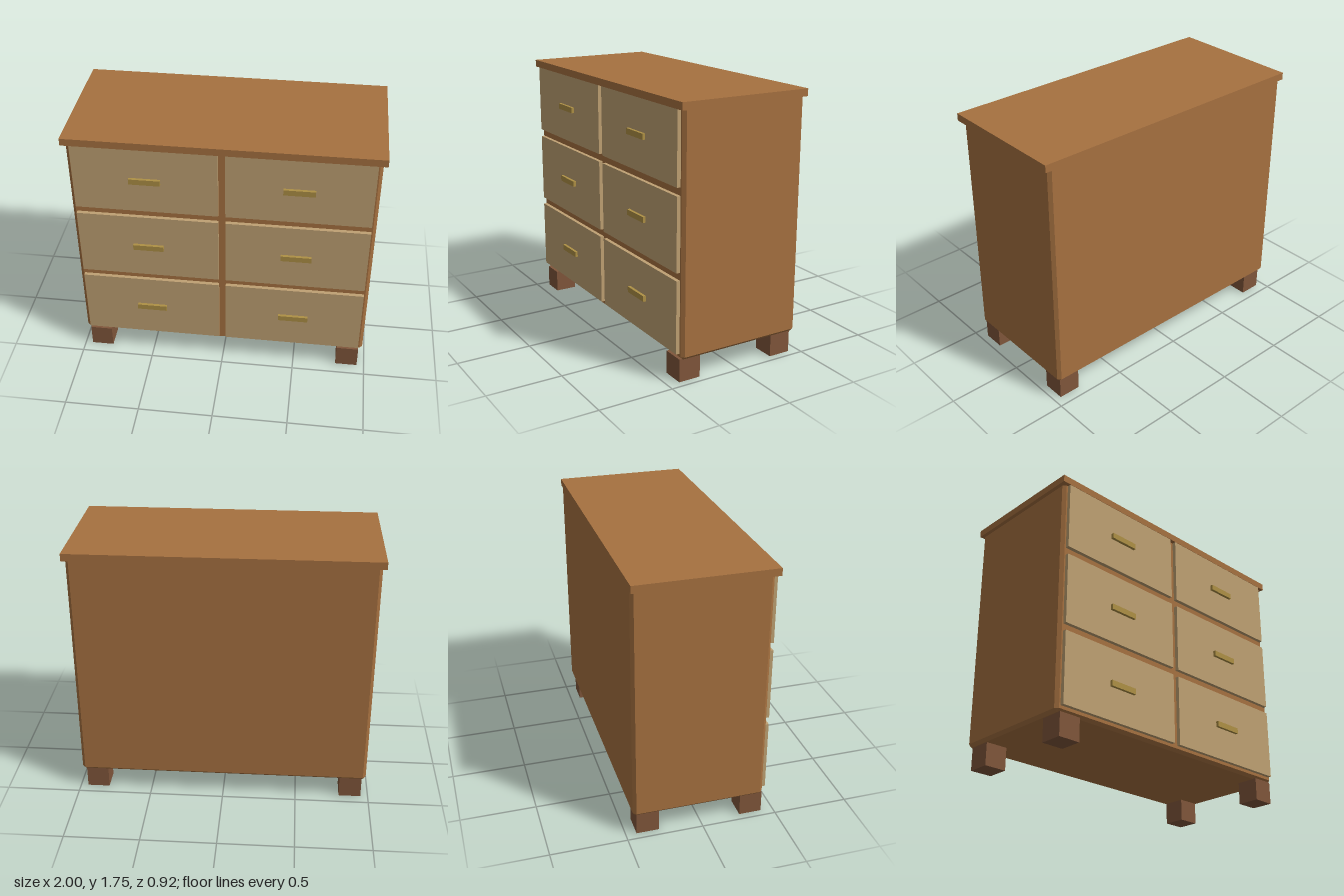
import * as THREE from 'three';
import { ConvexGeometry } from 'three/addons/geometries/ConvexGeometry.js';

const paint = (name, color) => {
  const m = new THREE.MeshStandardMaterial({ color });
  m.name = name;
  return m;
};

// Box given by its limits on each axis
function box(name, material, [x0, x1], [y0, y1], [z0, z1]) {
  const mesh = new THREE.Mesh(new THREE.BoxGeometry(x1 - x0, y1 - y0, z1 - z0), material);
  mesh.position.set((x0 + x1) / 2, (y0 + y1) / 2, (z0 + z1) / 2);
  mesh.name = name;
  return mesh;
}

// Box with every edge and corner cut flat by c
function chamferedBox(w, h, d, c) {
  const points = [];
  for (const sx of [-1, 1]) for (const sy of [-1, 1]) for (const sz of [-1, 1]) {
    const x = w / 2, y = h / 2, z = d / 2;
    points.push(
      new THREE.Vector3(sx * x, sy * (y - c), sz * (z - c)),
      new THREE.Vector3(sx * (x - c), sy * y, sz * (z - c)),
      new THREE.Vector3(sx * (x - c), sy * (y - c), sz * z),
    );
  }
  return new ConvexGeometry(points);
}

export function createModel() {
  const wood = paint('warm wood', 0xa67140);
  const pale = paint('pale wood', 0xbfa173);
  const brass = paint('brass', 0xae9045);
  const dark = paint('dark wood', 0x80563b);

  const group = new THREE.Group();
  group.name = 'dresser';

  // Carcass, its upper chamfer sunk into the top board
  const carcass = new THREE.Mesh(chamferedBox(1.95, 1.58, 0.87, 0.02), wood);
  carcass.position.set(0, 0.94, -0.02);
  carcass.name = 'carcass';
  group.add(carcass);

  group.add(box('topBoard', wood, [-1, 1], [1.702, 1.75], [-0.458, 0.442]));

  // Two columns of three drawers, each with a bar handle
  const rows = [[0.19, 0.665, 0.428], [0.715, 1.19, 0.952], [1.242, 1.702, 1.476]];
  for (const side of [-1, 1]) {
    for (const [y0, y1, yh] of rows) {
      const drawer = new THREE.Group();
      drawer.name = 'drawer';
      const cx = side * 0.484;
      drawer.add(box('drawerFront', pale, [cx - 0.461, cx + 0.461], [y0, y1], [0.405, 0.44]));
      drawer.add(box('handle', brass, [cx - 0.1, cx + 0.1], [yh - 0.019, yh + 0.019], [0.435, 0.459]));
      group.add(drawer);
    }
  }

  // Four block feet
  for (const x of [-0.875, 0.875]) {
    for (const z of [-0.355, 0.343]) {
      group.add(box('foot', dark, [x - 0.075, x + 0.075], [0, 0.152], [z - 0.075, z + 0.075]));
    }
  }
  return group;
}
